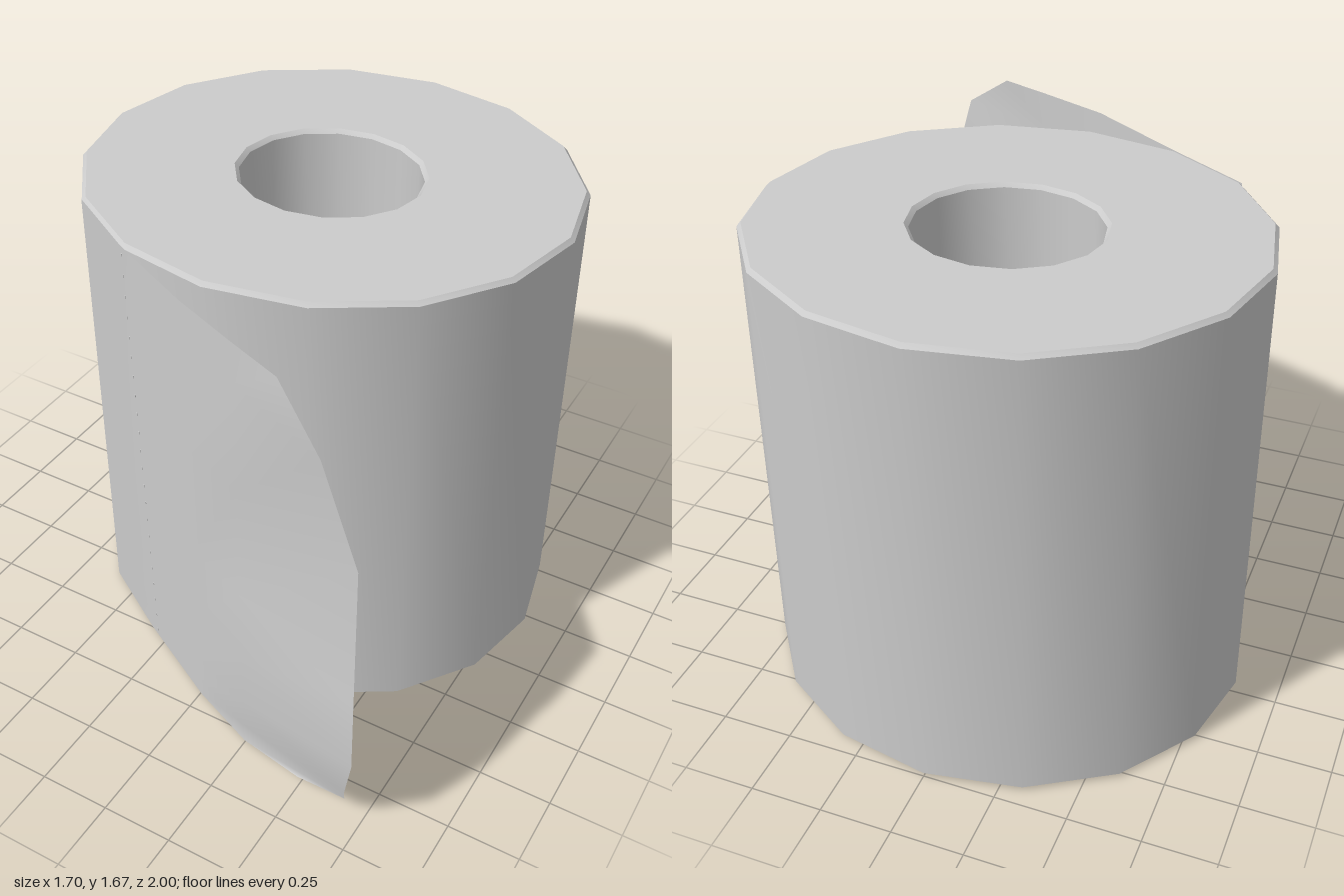
import * as THREE from 'three';
import { toCreasedNormals } from 'three/addons/utils/BufferGeometryUtils.js';

const HEIGHT = 1.655;
const OUTER = 0.85, INNER = 0.312, BEVEL = 0.014;
const SQUASH = 0.92; // the roll is slightly oval
const ROLL_Z = -0.218;

// Hollow 16-sided roll with small bevels on every rim
function rollGeometry() {
  const profile = [
    [INNER, BEVEL], [INNER + BEVEL, 0], [OUTER - BEVEL, 0], [OUTER, BEVEL],
    [OUTER, HEIGHT - BEVEL], [OUTER - BEVEL, HEIGHT], [INNER + BEVEL, HEIGHT],
    [INNER, HEIGHT - BEVEL], [INNER, BEVEL],
  ].map(([r, y]) => new THREE.Vector2(r, y));
  const geometry = new THREE.LatheGeometry(profile, 16);
  geometry.scale(1, 1, SQUASH);
  return toCreasedNormals(geometry, 0.6);
}

// Loose sheet: rows run from the roll to a wavy free edge
function sheetGeometry() {
  const columns = [[-0.6, 0.337], [-0.325, 0.507], [0.01, 0.69], [0.25, 0.79]]; // x, z
  const rows = [ // y at the roll, y along the sheet, free edge x, y, z
    [1.65, 1.67, 0.44, 1.67, 0.865],
    [1.53, 1.53, 0.63, 1.53, 0.96],
    [1.13, 1.13, 0.725, 1.13, 0.91],
    [0.7, 0.7, 0.77, 0.7, 1],
    [0.42, 0.42, 0.77, 0.42, 1],
    [0.2, 0.2, 0.717, 0.2, 0.94],
    [0.1, 0.09, 0.69, 0.09, 0.885],
    [0.01, 0.012, 0.5, 0.052, 0.86],
  ];
  const positions = [], index = [];
  const n = columns.length + 1;
  rows.forEach(([yRoll, ySheet, ex, ey, ez], r) => {
    columns.forEach(([x, z], c) => positions.push(x, c < 2 ? yRoll : ySheet, z));
    positions.push(ex, ey, ez);
    if (r === 0) return;
    for (let c = 0; c < n - 1; c++) {
      const a = (r - 1) * n + c, b = a + n;
      index.push(a, b, a + 1, a + 1, b, b + 1);
    }
  });
  const geometry = new THREE.BufferGeometry();
  geometry.setAttribute('position', new THREE.Float32BufferAttribute(positions, 3));
  geometry.setIndex(index);
  geometry.computeVertexNormals();
  return geometry;
}

export function createModel() {
  const model = new THREE.Group();
  model.name = 'paperRoll';
  const paper = new THREE.MeshStandardMaterial({ color: 0xcccccc });
  const thinPaper = new THREE.MeshStandardMaterial({ color: 0xcccccc, side: THREE.DoubleSide });

  const roll = new THREE.Mesh(rollGeometry(), paper);
  roll.name = 'roll';
  roll.position.z = ROLL_Z;
  model.add(roll);

  const sheet = new THREE.Mesh(sheetGeometry(), thinPaper);
  sheet.name = 'looseSheet';
  model.add(sheet);

  // Slanting line of tiny perforations where the sheet tears off
  const perforations = new THREE.Group();
  perforations.name = 'perforations';
  const dash = new THREE.BoxGeometry(0.006, 0.01, 0.004);
  const count = 22;
  for (let i = 0; i < count; i++) {
    const t = i / (count - 1);
    const x = -0.283 - 0.04 * t;
    const mark = new THREE.Mesh(dash, paper);
    mark.name = 'perforation';
    mark.position.set(x, 0.04 + 1.58 * t, 0.507 + (x + 0.325) * 0.546);
    mark.rotation.y = -0.5;
    perforations.add(mark);
  }
  model.add(perforations);
  return model;
}
